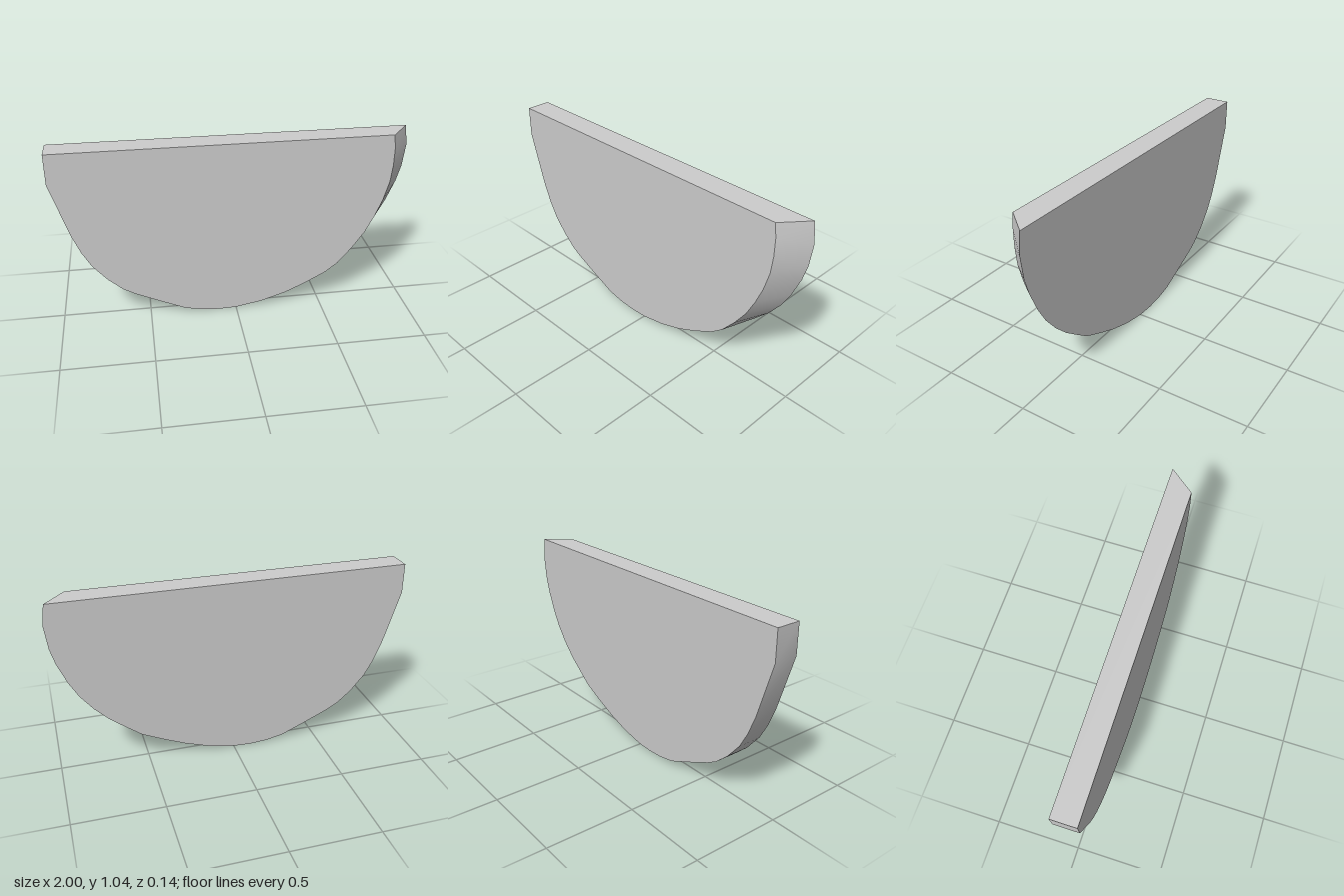
import * as THREE from 'three';
import { toCreasedNormals } from 'three/addons/utils/BufferGeometryUtils.js';

// Outline shared by both faces: left edge down to the lowest point and up again
const shared = [
  [-1, 1.04], [-1, 0.87], [-0.905, 0.56], [-0.86, 0.45], [-0.81, 0.36],
  [-0.73, 0.265], [-0.65, 0.195], [-0.59, 0.16], [-0.46, 0.1], [-0.3, 0.03],
  [-0.2, 0.01], [-0.1, 0.003], [0, 0.007], [0.15, 0.035], [0.29, 0.08],
];
// Right-hand end: the front face stops short, the back face reaches further out
const frontEnd = [
  [0.41, 0.135], [0.53, 0.2], [0.6, 0.255], [0.68, 0.35], [0.75, 0.45], [0.8, 0.55],
  [0.84, 0.65], [0.87, 0.76], [0.88, 0.86], [0.88, 0.96], [0.87, 1.04],
];
const backEnd = [
  [0.41, 0.13], [0.54, 0.19], [0.62, 0.25], [0.71, 0.32], [0.79, 0.4], [0.86, 0.49],
  [0.91, 0.58], [0.96, 0.7], [0.985, 0.79], [1, 0.92], [0.985, 1.04],
];

// Solid lofted between two convex outlines with matching points
function loft(front, back, halfDepth) {
  const f = front.map(([x, y]) => [x, y, halfDepth]);
  const b = back.map(([x, y]) => [x, y, -halfDepth]);
  const frontCentre = [0, 0.6, halfDepth], backCentre = [0, 0.6, -halfDepth];
  const positions = [];
  const triangle = (...corners) => corners.forEach((c) => positions.push(...c));
  for (let i = 0; i < f.length; i++) {
    const j = (i + 1) % f.length;
    triangle(frontCentre, f[i], f[j]);
    triangle(backCentre, b[j], b[i]);
    triangle(f[i], b[i], b[j]);
    triangle(f[i], b[j], f[j]);
  }
  const geometry = new THREE.BufferGeometry();
  geometry.setAttribute('position', new THREE.Float32BufferAttribute(positions, 3));
  return toCreasedNormals(geometry, THREE.MathUtils.degToRad(30));
}

export function createModel() {
  const group = new THREE.Group();
  group.name = 'halfRoundSlab';

  // Flat-topped slab with a bevelled right end
  const slab = new THREE.Mesh(
    loft([...shared, ...frontEnd], [...shared, ...backEnd], 0.07),
    new THREE.MeshStandardMaterial({ color: 0xcccccc }),
  );
  slab.name = 'slab';
  group.add(slab);
  return group;
}
